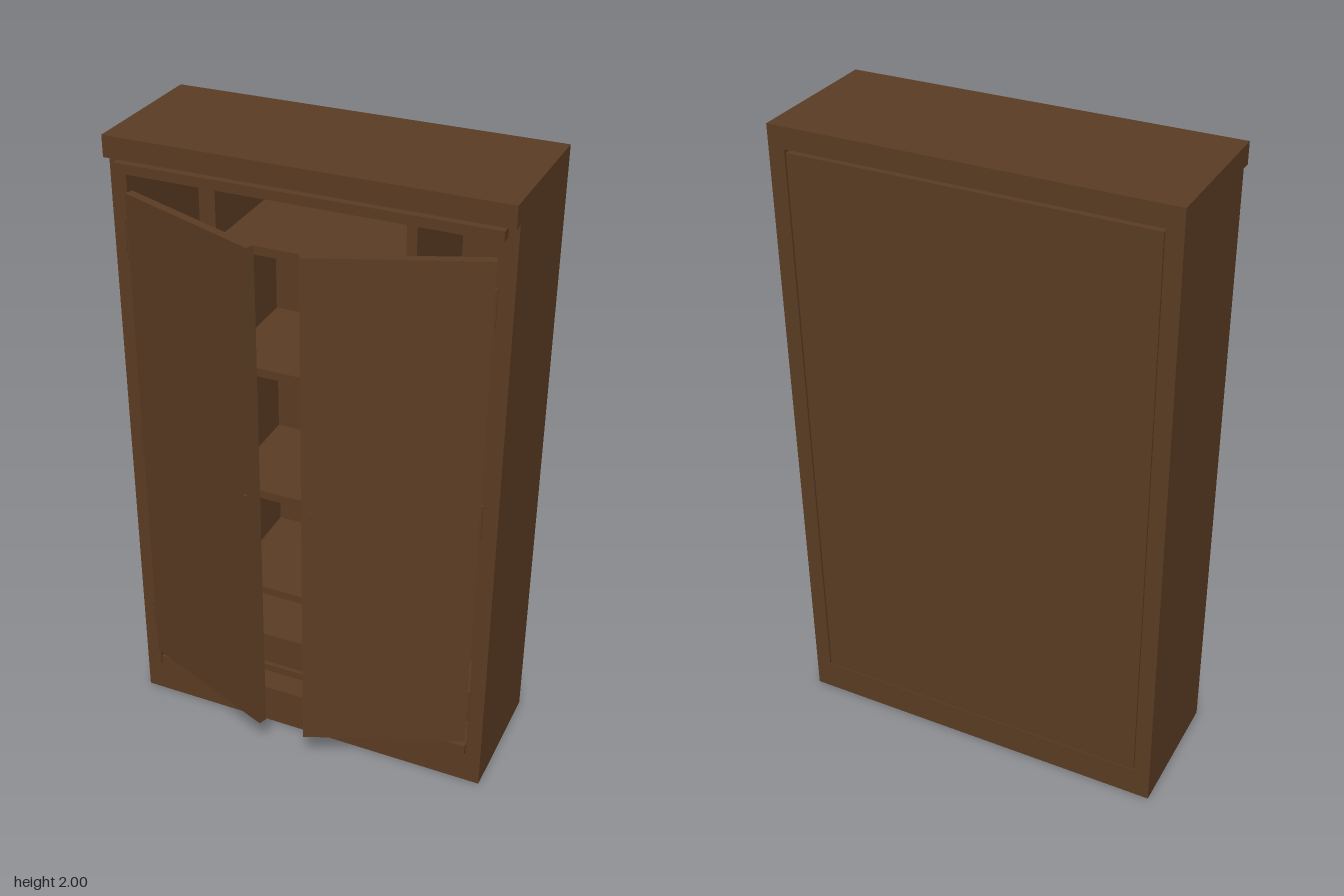
import * as THREE from 'three';

export function createModel() {
  const root = new THREE.Group();
  const wood = new THREE.MeshStandardMaterial({ color: 0x5c3d24 });
  wood.name = 'dark wood';

  // Box given by its min and max corners
  const box = (name, [x0, y0, z0], [x1, y1, z1], parent = root) => {
    const mesh = new THREE.Mesh(new THREE.BoxGeometry(x1 - x0, y1 - y0, z1 - z0), wood);
    mesh.position.set((x0 + x1) / 2, (y0 + y1) / 2, (z0 + z1) / 2);
    mesh.name = name;
    parent.add(mesh);
    return mesh;
  };
  const rod = (name, r, x, y0, y1, z, parent = root) => {
    const mesh = new THREE.Mesh(new THREE.CylinderGeometry(r, r, y1 - y0, 12), wood);
    mesh.position.set(x, (y0 + y1) / 2, z);
    mesh.name = name;
    parent.add(mesh);
  };

  const back = -0.315, front = 0.11;

  // Carcass: a thin slit stays open under the top board
  box('topBoard', [-0.6, 1.935, back], [0.6, 2, 0.142]);
  box('ceiling', [-0.546, 1.895, back + 0.002], [0.546, 1.925, front]);
  box('cornice', [-0.57, 1.895, front], [0.57, 1.925, 0.142]);
  box('base', [-0.55, 0, back], [0.55, 0.1, front]);
  box('floor', [-0.546, 0.1, back + 0.002], [0.546, 0.14, front]);
  box('backPanel', [-0.546, 0.1, back + 0.002], [0.546, 1.925, back + 0.02]);

  // Central bay shelves
  for (const y of [0.185, 0.505, 0.875, 1.305, 1.695])
    box('shelf', [-0.285, y, back + 0.02], [0.285, y + 0.027, 0.08]);

  // Bottom drawer with its pull
  box('drawer', [-0.28, 0.215, back + 0.03], [0.28, 0.33, 0.07]);
  box('drawerPull', [-0.02, 0.25, 0.07], [0.02, 0.258, 0.085]);

  // Small rack and pegs in the middle of the cabinet
  box('rack', [-0.05, 1.18, -0.1], [0.14, 1.235, 0]);
  rod('rackPeg', 0.004, -0.02, 1.235, 1.295, -0.05);
  rod('rackPeg', 0.008, 0.025, 1.235, 1.27, -0.05);
  rod('rackPeg', 0.012, 0.055, 1.235, 1.29, -0.05);
  rod('hangingPeg', 0.005, 0.053, 1.12, 1.18, -0.05);
  rod('tallPeg', 0.008, -0.02, 1.332, 1.44, -0.05);
  rod('shortPeg', 0.008, 0.05, 1.332, 1.385, -0.05);

  for (const s of [-1, 1]) {
    const side = s > 0 ? 'left' : 'right';
    const span = (a, b) => [Math.min(s * a, s * b), Math.max(s * a, s * b)];

    const [a0, a1] = span(0.55, 0.6);
    box(side + 'SidePanel', [a0, 0, back], [a1, 1.935, front]);
    const [d0, d1] = span(0.285, 0.315);
    box(side + 'Divider', [d0, 0.14, back + 0.02], [d1, 1.895, 0.085]);

    // Half-open door, pivoting on its outer edge
    const door = new THREE.Group();
    door.name = side + 'Door';
    door.position.set(s * 0.55, 0, 0.124);
    door.rotation.y = s * 0.378;
    const [p0, p1] = span(-0.51, 0);
    box(side + 'DoorPanel', [p0, 0.175, -0.027], [p1, 1.83, 0], door);
    const [h0, h1] = span(-0.486, -0.474);
    box(side + 'DoorHandle', [h0, 0.965, 0], [h1, 1.04, 0.008], door);
    root.add(door);

    // Hinge barrels
    for (const y of [0.32, 1.01, 1.69])
      rod(side + 'Hinge', 0.006, s * 0.55, y - 0.06, y + 0.06, 0.119);
  }
  return root;
}
